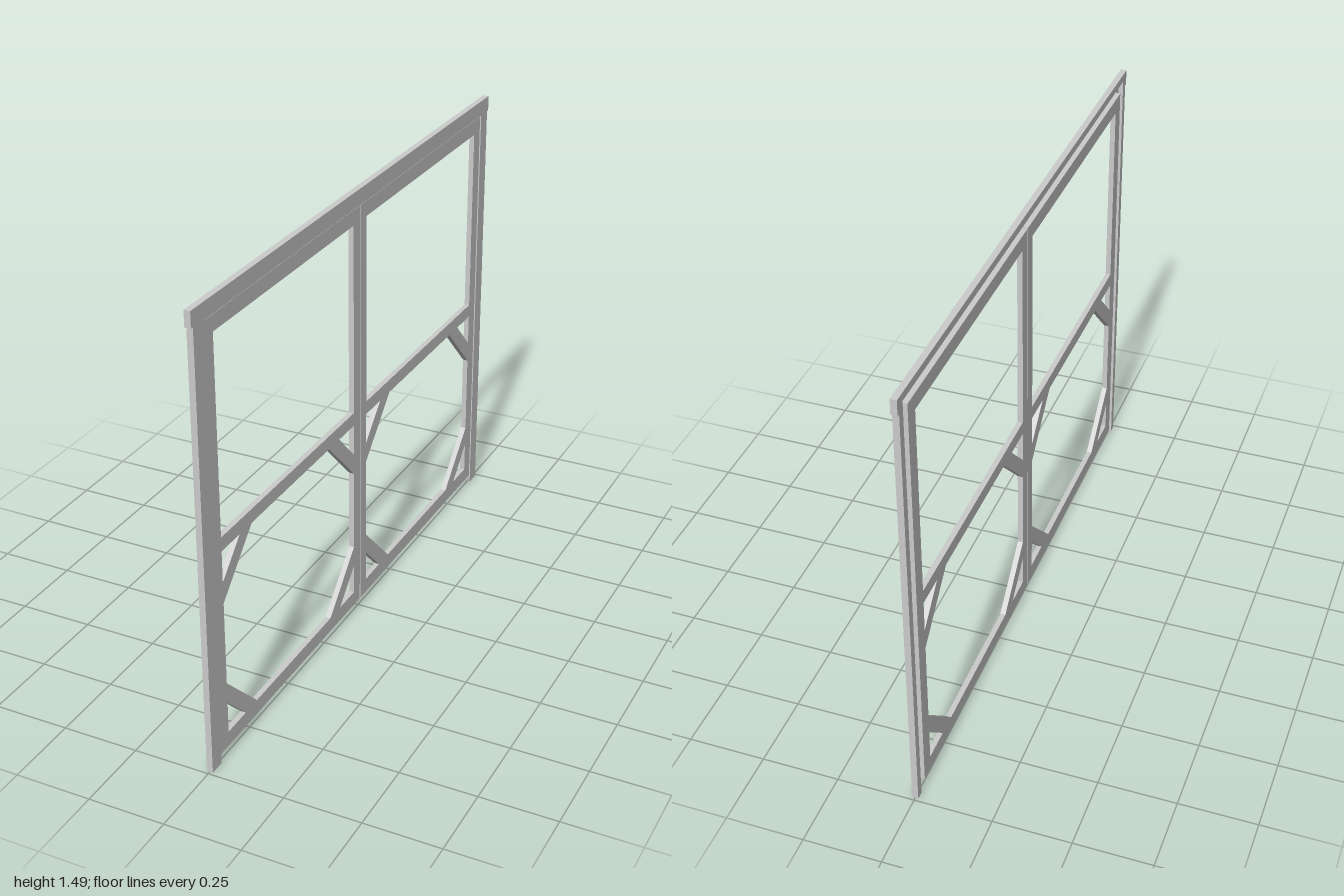
import * as THREE from 'three';

const material = new THREE.MeshStandardMaterial({ color: 0xcccccc });

// Frame and leaf depths along x
const BACK = -0.01, FRONT = 0.01, LEAF_FRONT = 0.0075, FLANGE_BACK = 0.005;

function box(name, x0, x1, y0, y1, z0, z1) {
  const geo = new THREE.BoxGeometry(x1 - x0, y1 - y0, Math.abs(z1 - z0));
  const mesh = new THREE.Mesh(geo, material);
  mesh.name = name;
  mesh.position.set((x0 + x1) / 2, (y0 + y1) / 2, (z0 + z1) / 2);
  return mesh;
}

// One leaf: a plate with window, braced opening and corner gaps cut out
function leaf(side) {
  // Mirrored outlines are reversed so that they keep running counter-clockwise
  const points = (list) => {
    const pts = list.map(([z, y]) => new THREE.Vector2(z * side, y));
    return THREE.ShapeUtils.isClockWise(pts) ? pts.reverse() : pts;
  };
  const zIn = 0.045, zOut = 0.887;
  const low = 0.078, mid = 0.702, sill = 0.747, top = 1.38;
  const gap = 0.104, cut = 0.174; // brace inner and outer leg lengths

  const shape = new THREE.Shape(points([[0.002, 0.029], [0.935, 0.029], [0.935, 1.43], [0.002, 1.43]]));
  const hole = (list) => shape.holes.push(new THREE.Path(points(list)));

  // Upper window
  hole([[zIn, sill], [zOut, sill], [zOut, top], [zIn, top]]);
  // Lower octagonal opening
  hole([
    [zIn + cut, low], [zOut - cut, low], [zOut, low + cut], [zOut, mid - cut],
    [zOut - cut, mid], [zIn + cut, mid], [zIn, mid - cut], [zIn, low + cut],
  ]);
  // Triangular gaps behind the diagonal braces
  for (const [z, dz] of [[zIn, 1], [zOut, -1]]) {
    for (const [y, dy] of [[low, 1], [mid, -1]]) {
      hole([[z, y], [z + dz * gap, y], [z, y + dy * gap]]);
    }
  }

  const geo = new THREE.ExtrudeGeometry(shape, { depth: LEAF_FRONT - BACK, bevelEnabled: false });
  geo.rotateY(-Math.PI / 2);
  geo.translate(LEAF_FRONT, 0, 0);
  const mesh = new THREE.Mesh(geo, material);
  mesh.name = side > 0 ? 'frontLeaf' : 'rearLeaf';
  return mesh;
}

export function createModel() {
  const model = new THREE.Group();
  model.name = 'doubleDoorFrame';

  // Header: angle section with solid ends over the posts
  const header = new THREE.Group();
  header.name = 'header';
  header.add(box('headerWeb', BACK, FRONT, 1.46, 1.485, -1, 1));
  header.add(box('headerFlange', FLANGE_BACK, FRONT, 1.433, 1.46, -0.965, 0.965));
  model.add(header);

  for (const side of [1, -1]) {
    header.add(box('headerEnd', BACK, FRONT, 1.435, 1.46, side * 0.965, side));

    // Post: outer web with a thin flange covering the joint with the leaf
    const post = new THREE.Group();
    post.name = side > 0 ? 'frontPost' : 'rearPost';
    post.add(box('postWeb', BACK, FRONT, 0, 1.435, side * 0.965, side * 0.99));
    post.add(box('postFlange', FLANGE_BACK, FRONT, 0, 1.433, side * 0.938, side * 0.965));
    model.add(post);

    model.add(leaf(side));
  }
  return model;
}
